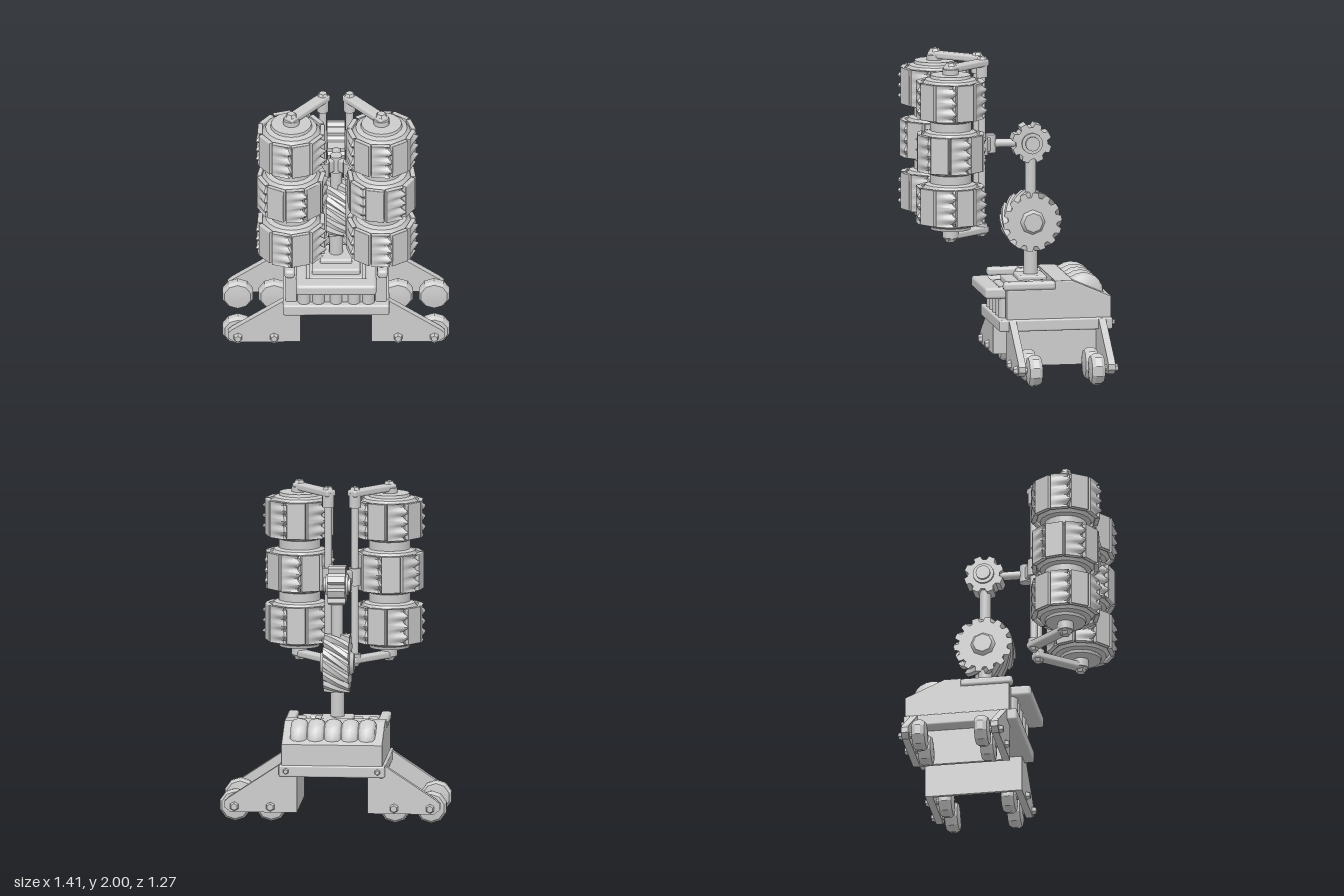
import * as THREE from 'three';
import { toCreasedNormals } from 'three/addons/utils/BufferGeometryUtils.js';
import { RoundedBoxGeometry } from 'three/addons/geometries/RoundedBoxGeometry.js';

const V = (x, y, z) => new THREE.Vector3(x, y, z);

export function createModel() {
  const model = new THREE.Group();
  model.name = 'rollerMachine';
  const grey = new THREE.MeshStandardMaterial({ color: 0xcccccc });
  grey.name = 'plain grey';

  function add(name, geo, x = 0, y = 0, z = 0, parent = model) {
    const m = new THREE.Mesh(geo, grey);
    m.name = name;
    m.position.set(x, y, z);
    parent.add(m);
    return m;
  }
  // box given by its limits, with softened edges
  function box(name, x0, x1, y0, y1, z0, z1, r = 0.012) {
    const geo = r ? new RoundedBoxGeometry(x1 - x0, y1 - y0, z1 - z0, 2, r)
      : new THREE.BoxGeometry(x1 - x0, y1 - y0, z1 - z0);
    return add(name, geo, (x0 + x1) / 2, (y0 + y1) / 2, (z0 + z1) / 2);
  }
  // cylinder between two points
  function rod(name, a, b, r, sides = 16, r2 = r) {
    const d = b.clone().sub(a);
    const geo = toCreasedNormals(new THREE.CylinderGeometry(r2, r, d.length(), sides), 0.7);
    const m = add(name, geo);
    m.position.copy(a).add(b).multiplyScalar(0.5);
    m.quaternion.setFromUnitVectors(V(0, 1, 0), d.normalize());
    return m;
  }
  function bolt(name, at, dir, r = 0.03, h = 0.025) {
    rod(name, at, at.clone().addScaledVector(dir, h), r, 6, r * 0.7);
  }
  const lathe = (pts, sides, crease = 0.6) =>
    toCreasedNormals(new THREE.LatheGeometry(pts.map(p => new THREE.Vector2(...p)), sides), crease);

  // ---------- base plate and undercarriage ----------
  box('basePlate', -0.33, 0.33, 0.3, 0.375, -0.615, 0.1);
  const wheelGeo = lathe([[0, -0.048], [0.045, -0.045], [0.085, -0.04], [0.1, -0.018],
    [0.1, 0.018], [0.085, 0.04], [0.045, 0.045], [0, 0.048]], 10, 0.5);
  for (const s of [-1, 1]) {
    const leg = new THREE.Shape();
    [[0.22, 0.07], [0.635, 0.07], [0.672, 0.1], [0.672, 0.135], [0.645, 0.16], [0.33, 0.37], [0.22, 0.37]]
      .forEach(([x, y], i) => (i ? leg.lineTo(s * x, y) : leg.moveTo(s * x, y)));
    const legGeo = new THREE.ExtrudeGeometry(leg, { depth: 0.045, bevelEnabled: false });
    add('legPlateFront', legGeo, 0, 0, -0.005);
    add('legPlateBack', legGeo, 0, 0, -0.57);
    const wall = [s * 0.22, s * 0.24].sort((a, b) => a - b);
    box('legInnerWall', wall[0], wall[1], 0.07, 0.31, -0.55, 0.03, 0);
    for (const x of [0.385, 0.61]) {
      for (const [z, plate, dir] of [[-0.068, 0.04, 1], [-0.462, -0.57, -1]]) {
        add('wheel', wheelGeo, s * x, 0.1, z).rotation.x = Math.PI / 2;
        rod('wheelAxle', V(s * x, 0.105, z), V(s * x, 0.105, plate), 0.02, 8);
        bolt('wheelBolt', V(s * x, 0.105, plate), V(0, 0, dir));
      }
    }
    bolt('plateBolt', V(s * 0.285, 0.338, -0.613), V(0, 0, -1), 0.02, 0.022);
  }

  // ---------- rear housing with ribbed barrel ----------
  const side = new THREE.Shape();
  [[0.26, 0.37], [0.6, 0.37], [0.6, 0.5], [0.565, 0.515], [0.36, 0.605], [0.26, 0.605]]
    .forEach(([z, y], i) => (i ? side.lineTo(z, y) : side.moveTo(z, y)));
  const housing = new THREE.ExtrudeGeometry(side, {
    depth: 0.61, bevelThickness: 0.01, bevelSize: 0.008, bevelSegments: 2,
  });
  housing.translate(0, 0, -0.305).rotateY(Math.PI / 2);
  add('rearHousing', housing);
  const ribs = [[0, -0.268]];
  for (let i = 0; i < 5; i++) {
    for (const [t, r] of [[0.02, 0.105], [0.15, 0.123], [0.5, 0.132], [0.85, 0.123], [0.98, 0.105]]) {
      ribs.push([r, -0.265 + (i + t) * 0.106]);
    }
  }
  ribs.push([0, 0.268]);
  add('ribbedBarrel', lathe(ribs, 20, 0.7), 0, 0.512, -0.445).rotation.z = Math.PI / 2;

  // ---------- front turntable block ----------
  box('bumperFront', -0.25, 0.25, 0.495, 0.568, 0.07, 0.175, 0.02);
  box('blockCore', -0.165, 0.165, 0.37, 0.55, -0.26, 0.05);
  box('blockStep', -0.15, 0.15, 0.37, 0.585, -0.25, 0.01);
  box('blockTop', -0.1, 0.1, 0.37, 0.612, -0.24, -0.06);
  box('blockFront', -0.2, 0.2, 0.37, 0.5, 0, 0.06);
  for (const x of [-0.2, -0.11, 0, 0.11, 0.2]) {
    rod('frontColumn', V(x, 0.37, 0.045), V(x, 0.51, 0.045), 0.04);
  }
  for (const s of [-1, 1]) {
    const span = (a, b) => (s > 0 ? [a, b] : [-b, -a]);
    box('bumperSide', ...span(0.18, 0.25), 0.495, 0.568, -0.26, 0.12, 0.02);
    box('sideCheek', ...span(0.245, 0.315), 0.37, 0.56, -0.27, 0.05, 0.008);
    box('sideRail', ...span(0.255, 0.322), 0.555, 0.61, -0.26, 0.07, 0.02);
    box('innerFiller', ...span(0.16, 0.25), 0.37, 0.5, -0.26, 0.03, 0);
    box('cornerPad', ...span(0.19, 0.255), 0.555, 0.608, -0.26, -0.1, 0.02);
  }

  // ---------- jointed mast ----------
  const MZ = -0.155, LOW = 0.945, HIGH = 1.437;
  rod('mastLower', V(0, 0.55, MZ), V(0, LOW, MZ), 0.043);
  rod('mastUpper', V(0, LOW, MZ), V(0, HIGH, MZ), 0.036);
  // gear across the x axis; twist makes the teeth slanted
  function gear(name, y, teeth, r0, r1, half, twist) {
    const s = new THREE.Shape();
    for (let i = 0; i < teeth; i++) {
      [[0, r0], [0.22, r0], [0.36, r1], [0.78, r1], [0.92, r0]].forEach(([f, r], k) => {
        const a = ((i + f) / teeth) * Math.PI * 2;
        if (i + k) s.lineTo(r * Math.cos(a), r * Math.sin(a));
        else s.moveTo(r, 0);
      });
    }
    const g = new THREE.ExtrudeGeometry(s, { depth: half * 2, steps: 6, bevelEnabled: false });
    g.translate(0, 0, -half);
    const p = g.attributes.position;
    for (let i = 0; i < p.count; i++) {
      const a = p.getZ(i) * twist, x = p.getX(i), yy = p.getY(i);
      p.setXY(i, x * Math.cos(a) - yy * Math.sin(a), x * Math.sin(a) + yy * Math.cos(a));
    }
    g.computeVertexNormals();
    g.rotateY(Math.PI / 2);
    add(name, toCreasedNormals(g, 0.5), 0, y, MZ);
  }
  gear('lowerGear', LOW, 14, 0.155, 0.185, 0.08, 4);
  gear('upperGear', HIGH, 8, 0.1, 0.125, 0.055, 0);
  for (const s of [-1, 1]) {
    rod('lowerHub', V(s * 0.075, LOW, MZ), V(s * 0.105, LOW, MZ), 0.082, 8, 0.06);
    rod('upperHubRing', V(s * 0.05, HIGH, MZ), V(s * 0.07, HIGH, MZ), 0.066);
    rod('upperHub', V(s * 0.06, HIGH, MZ), V(s * 0.085, HIGH, MZ), 0.045);
  }
  rod('neck', V(0, HIGH, MZ), V(0, HIGH, 0.1), 0.027);
  rod('hingePin', V(0, 1.38, 0.1), V(0, 1.495, 0.1), 0.037);

  // ---------- twin roller columns ----------
  const drumGeo = lathe([[0, -0.158], [0.125, -0.156], [0.13, -0.138], [0.16, -0.128], [0.166, -0.115],
    [0.183, -0.095], [0.183, 0.095], [0.166, 0.115], [0.16, 0.128], [0.13, 0.138], [0.125, 0.156], [0, 0.158]], 20);
  // thin tread pad whose outer face and one edge are scalloped into four claws
  function treadGeometry() {
    const g = new THREE.BoxGeometry(0.115, 0.23, 0.03, 4, 24, 1);
    const p = g.attributes.position;
    for (let i = 0; i < p.count; i++) {
      const t = p.getX(i) / 0.115 + 0.5;
      const wave = Math.cos((p.getY(i) / 0.23) * Math.PI * 7);
      p.setX(i, p.getX(i) + 0.014 * t * t * wave);
      if (p.getZ(i) > 0) p.setZ(i, p.getZ(i) + 0.012 * t * wave);
    }
    g.computeVertexNormals();
    return toCreasedNormals(g, 0.7);
  }
  const treadGeo = treadGeometry();
  const padGeo = new RoundedBoxGeometry(0.118, 0.23, 0.03, 1, 0.005);
  const RX = 0.083, RZ = 0.167, DX = 0.28, DZ = 0.4;
  for (const s of [-1, 1]) {
    rod('columnRod', V(s * RX, 0.89, RZ), V(s * RX, 1.97, RZ), 0.024);
    rod('drumSpindle', V(s * DX, 0.9, DZ), V(s * DX, 1.96, DZ), 0.05);
    rod('drumCore', V(s * DX, 0.97, DZ), V(s * DX, 1.91, DZ), 0.13, 20);
    for (const [y, dir, sleeve] of [[1.96, 1, 1.87], [0.91, -1, 0.95]]) {
      const len = Math.hypot(DX - RX, DZ - RZ);
      const arm = add('swingArm', new RoundedBoxGeometry(0.075, 0.045, len + 0.07, 2, 0.015),
        s * (DX + RX) / 2, y, (DZ + RZ) / 2);
      arm.rotation.y = s * Math.atan2(DX - RX, DZ - RZ);
      rod('armSleeve', V(s * RX, sleeve, RZ), V(s * RX, y, RZ), 0.037);
      bolt('rodBolt', V(s * RX, y + dir * 0.02, RZ), V(0, dir, 0), 0.035, 0.02);
      bolt('drumBolt', V(s * DX, y + dir * 0.02, DZ), V(0, dir, 0), 0.038, 0.02);
    }
    // hinge wing joining the mast to the rod
    rod('rodClamp', V(s * RX, 1.38, RZ), V(s * RX, 1.49, RZ), 0.04);
    const wing = add('hingeWing', new RoundedBoxGeometry(0.11, 0.09, 0.04, 2, 0.012), s * 0.045, 1.435, 0.135);
    wing.rotation.y = -s * 0.68;

    [1.77, 1.44, 1.11].forEach((y, level) => {
      const drum = new THREE.Group();
      drum.name = 'rollerDrum';
      drum.position.set(s * DX, y, DZ);
      drum.rotation.y = (s < 0 ? 0.3 : 0.6) + (level === 1 ? 0.45 : 0);
      model.add(drum);
      add('drumBody', drumGeo, 0, 0, 0, drum);
      for (let k = 0; k < 10; k++) {
        const a = (k * Math.PI) / 5;
        add(k % 2 ? 'clawTread' : 'treadPad', k % 2 ? treadGeo : padGeo,
          0.193 * Math.sin(a), 0, 0.193 * Math.cos(a), drum).rotation.y = a;
      }
    });
  }
  return model;
}
